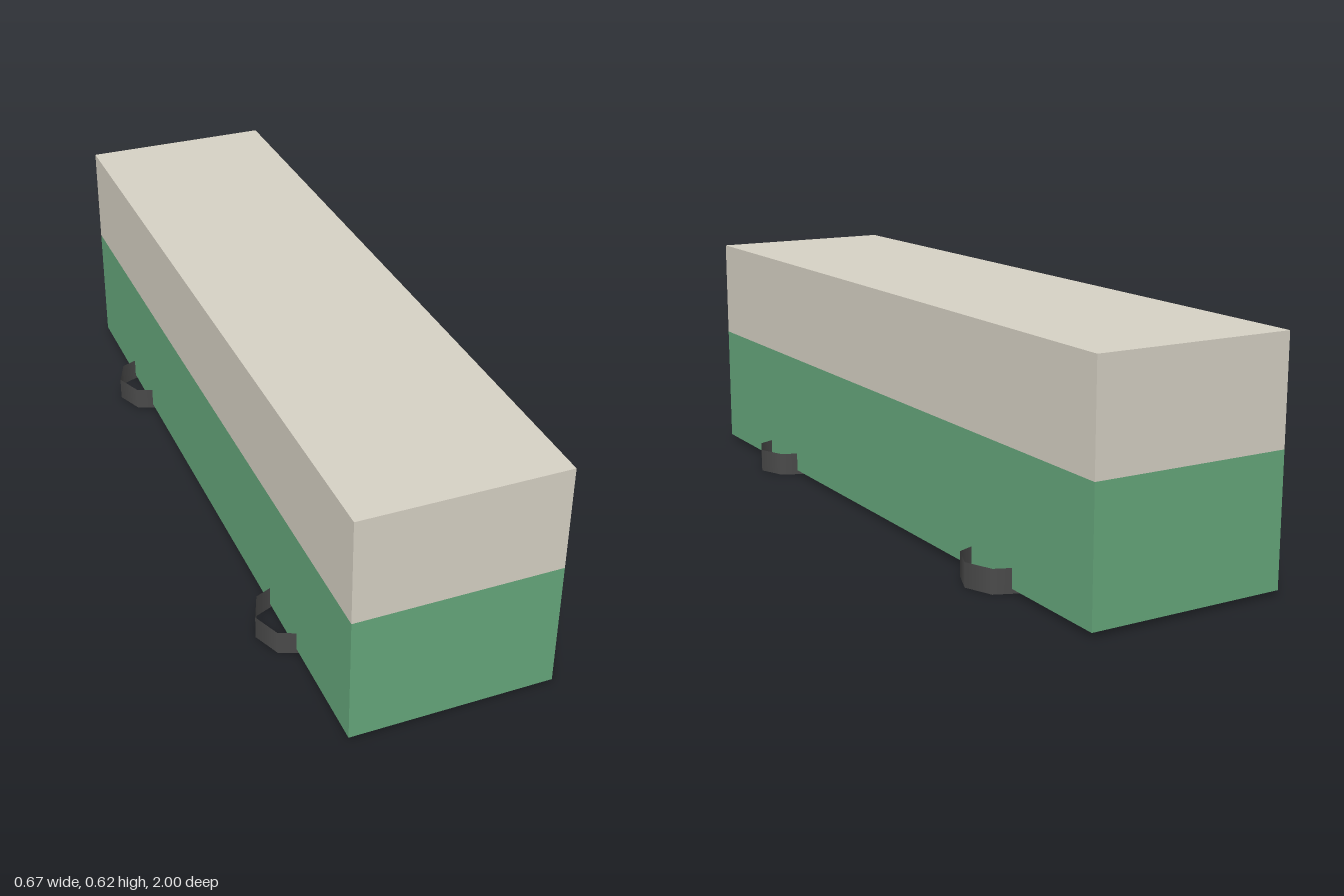
import * as THREE from 'three';

export function createModel() {
  const group = new THREE.Group();
  const green = new THREE.MeshStandardMaterial({ color: 0x66a87c });
  const cream = new THREE.MeshStandardMaterial({ color: 0xd7d2c5 });
  const dark = new THREE.MeshStandardMaterial({ color: 0x4a4a4a, side: THREE.DoubleSide });

  // Body: two stacked full-length halves
  const addBody = (name, y0, y1, material) => {
    const mesh = new THREE.Mesh(new THREE.BoxGeometry(0.524, y1 - y0, 2), material);
    mesh.name = name;
    mesh.position.y = (y0 + y1) / 2;
    group.add(mesh);
  };
  addBody('lowerBody', 0.012, 0.348, green);
  addBody('upperBody', 0.348, 0.622, cream);

  // Wheels: open eight-sided hoops lying flat, half sunk into the sides
  const hoop = new THREE.CylinderGeometry(0.104, 0.104, 0.063, 8, 1, true);
  for (const [end, z] of [['front', 0.59], ['back', -0.59]]) {
    for (const [side, x] of [['Left', 0.231], ['Right', -0.231]]) {
      const wheel = new THREE.Mesh(hoop, dark);
      wheel.name = `${end}${side}Wheel`;
      wheel.position.set(x, 0.0315, z);
      group.add(wheel);
    }
  }
  return group;
}
